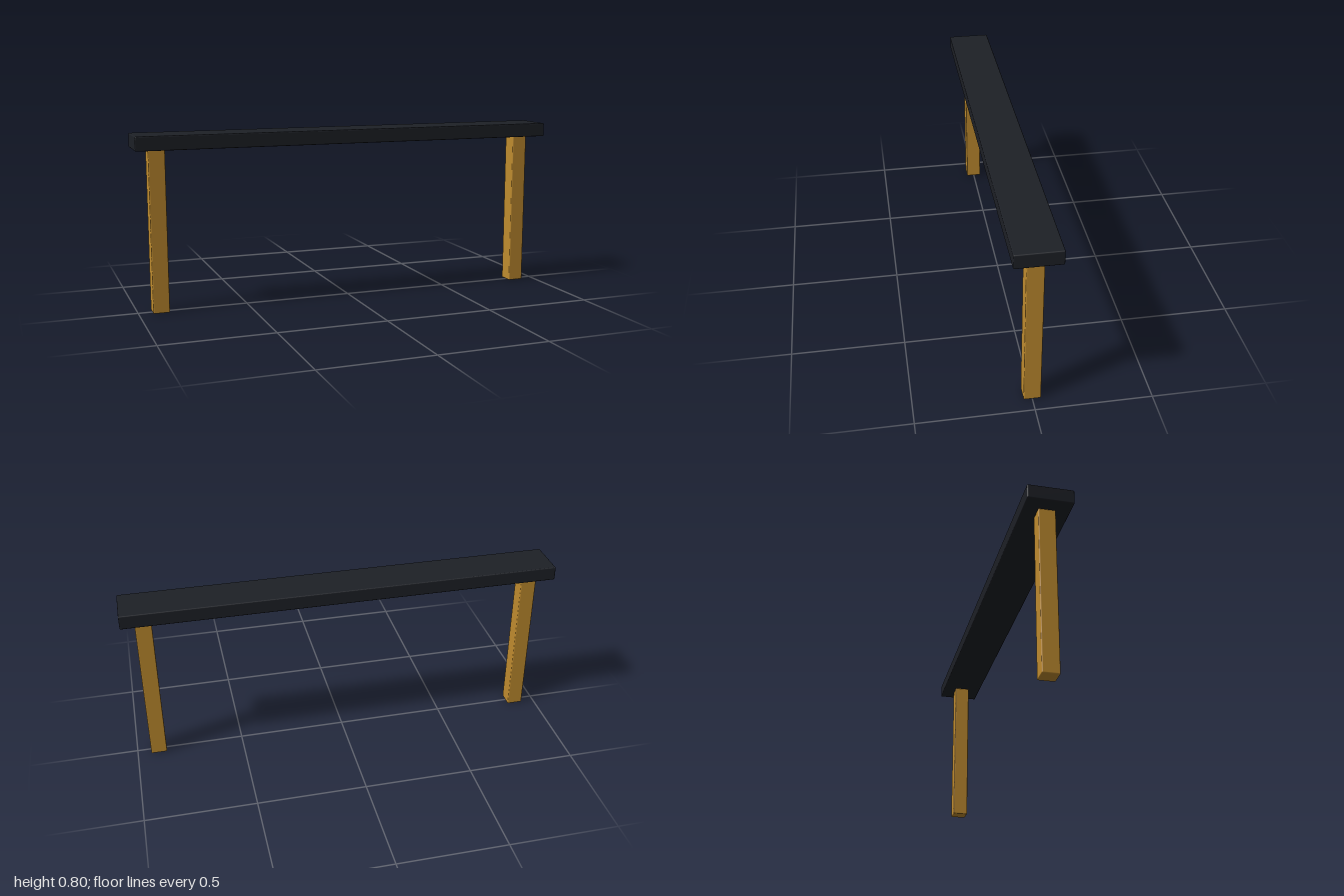
import * as THREE from 'three';
import { RoundedBoxGeometry } from 'three/addons/geometries/RoundedBoxGeometry.js';

const TOP = 0.8, BEAM_H = 0.064, BEAM_D = 0.198;
const LEG_W = 0.074, LEG_X = 0.9, BEVEL = 0.005;

export function createModel() {
  const model = new THREE.Group();
  model.name = 'bench';

  const dark = new THREE.MeshStandardMaterial({ color: 0x1d2026 });
  const wood = new THREE.MeshStandardMaterial({ color: 0xc08c2f });

  // Softly bevelled block standing on the height y0
  function block(name, w, h, d, x, y0, material) {
    const mesh = new THREE.Mesh(new RoundedBoxGeometry(w, h, d, 2, BEVEL), material);
    mesh.name = name;
    mesh.position.set(x, y0 + h / 2, 0);
    model.add(mesh);
  }

  // Long plank
  block('seat', 2, BEAM_H, BEAM_D, 0, TOP - BEAM_H, dark);

  // Square post under each end, meeting the plank's underside
  for (const [name, side] of [['leftLeg', 1], ['rightLeg', -1]]) {
    block(name, LEG_W, TOP - BEAM_H, LEG_W, side * LEG_X, 0, wood);
  }

  return model;
}
